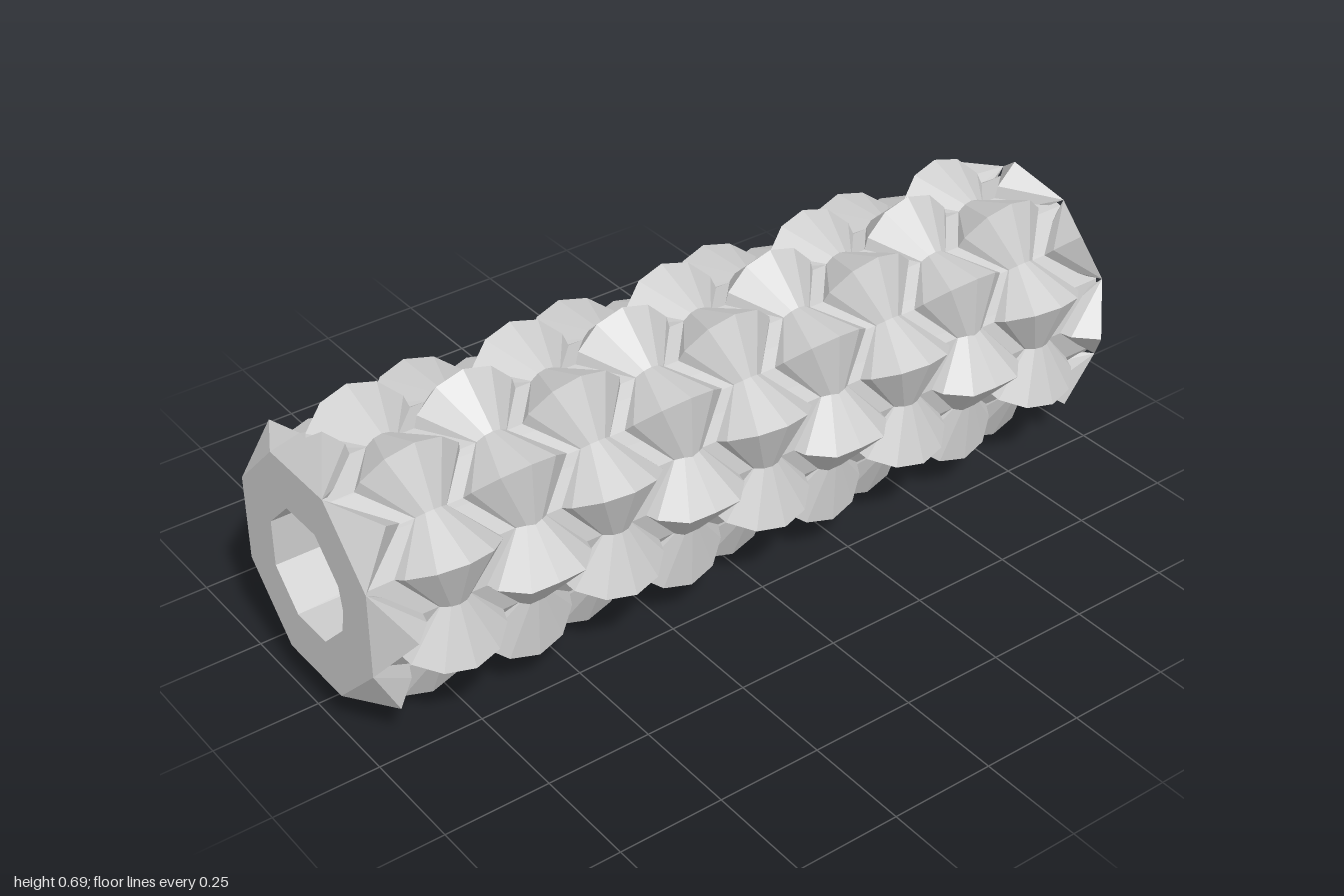
import * as THREE from 'three';

const SIDES = 8, STEP = Math.PI / 4, HALF = STEP / 2;
const RINGS = 11, SPACING = 0.2;
const APOTHEM = 0.25, CORNER = APOTHEM / Math.cos(HALF);   // end-face octagon
const CENTRE = 0.212, RIM = 0.134, REACH = 0.141;          // stud centre and half sizes
const BORE = 0.148;

const polar = (r, a, z = 0) => new THREE.Vector3(r * Math.cos(a), r * Math.sin(a), z);

// Twelve-sided double cone: tips along the tangent (y), rim in the
// radial/axial plane (x, z), underside flattened inside the core
function studGeometry(adjust) {
  const g = new THREE.SphereGeometry(1, 12, 2).toNonIndexed();
  const p = g.attributes.position, v = new THREE.Vector3();
  for (let i = 0; i < p.count; i++) {
    v.fromBufferAttribute(p, i);
    v.set(Math.max(v.x * RIM, -0.04), v.y * REACH, v.z * RIM);
    if (adjust) adjust(v);
    p.setXYZ(i, v.x, v.y, v.z);
  }
  g.computeVertexNormals();
  return g;
}

// Half stud whose outer side slopes down to an edge of the end face
const endStud = side => studGeometry(v => {
  if (Math.abs(v.y) > 0.1) v.set(APOTHEM - CENTRE, Math.sign(v.y) * APOTHEM * Math.tan(HALF), 0);
  else if (v.z * side > -0.01) v.set(APOTHEM - CENTRE, 0, 0);
});

export function createModel() {
  const model = new THREE.Group();
  const roller = new THREE.Group();
  roller.name = 'roller';
  roller.position.set(0.0075, CENTRE + RIM, 0);
  model.add(roller);
  const material = new THREE.MeshStandardMaterial({ color: 0xcccccc, flatShading: true });
  const add = (geometry, name, parent = roller) => {
    const mesh = new THREE.Mesh(geometry, material);
    mesh.name = name;
    parent.add(mesh);
    return mesh;
  };

  // Core between the studs
  const core = new THREE.CylinderGeometry(APOTHEM, APOTHEM, 2, 16, 1, true);
  add(core.rotateX(Math.PI / 2), 'core');

  // Bore: octagon with one extra corner on the +x side
  const boreAngles = [0];
  for (let j = 0; j < SIDES; j++) boreAngles.push(HALF + j * STEP);
  const lining = [];
  boreAngles.forEach((angle, j) => {
    const next = boreAngles[(j + 1) % boreAngles.length];
    const a = polar(BORE, angle, 1), b = polar(BORE, next, 1);
    const c = polar(BORE, angle, -1), d = polar(BORE, next, -1);
    lining.push(a, b, c, b, d, c);
  });
  const bore = new THREE.BufferGeometry().setFromPoints(lining);
  bore.computeVertexNormals();
  add(bore, 'bore');

  // Flat end faces around the bore
  const outline = [];
  for (let j = 0; j < SIDES; j++) outline.push(polar(CORNER, HALF + j * STEP));
  const face = new THREE.Shape(outline.map(p => new THREE.Vector2(p.x, p.y)));
  face.holes.push(new THREE.Path(boreAngles.map(a =>
    new THREE.Vector2(BORE * Math.cos(a), BORE * Math.sin(a)))));
  const faceGeometry = new THREE.ShapeGeometry(face);
  add(faceGeometry, 'frontFace').position.z = 1;
  const backGeometry = faceGeometry.clone().scale(1, 1, -1);
  backGeometry.index.array.reverse();
  backGeometry.computeVertexNormals();
  add(backGeometry, 'backFace').position.z = -1;

  // Stud variants
  const pointed = studGeometry();
  const blunt = studGeometry(v => { v.x = Math.min(v.x, 0.119); });
  const frontStud = endStud(1), backStud = endStud(-1);

  // Interlocking rings of studs, every second ring shifted by half a step
  for (let i = 0; i < RINGS; i++) {
    const ring = new THREE.Group();
    ring.name = 'studRing' + (i + 1);
    ring.position.z = 1 - i * SPACING;
    roller.add(ring);
    for (let j = 0; j < SIDES; j++) {
      const angle = j * STEP + (i % 2 ? HALF : 0);
      let geometry = angle === 0 ? blunt : pointed;
      if (i === 0) geometry = frontStud;
      if (i === RINGS - 1) geometry = backStud;
      const stud = add(geometry, 'stud', ring);
      stud.position.copy(polar(CENTRE, angle));
      stud.rotation.z = angle;
    }
  }
  return model;
}
